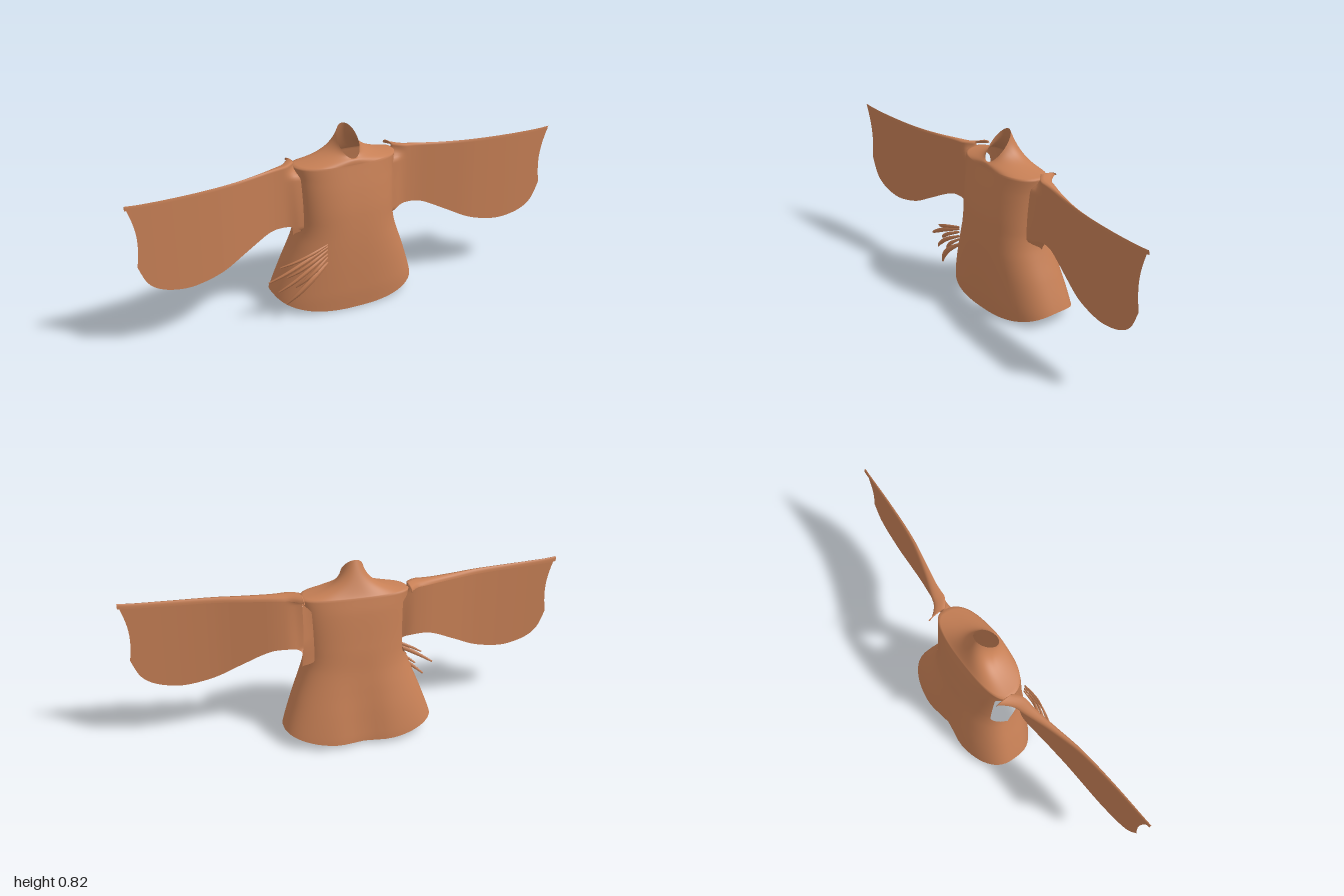
import * as THREE from 'three';
import { mergeGeometries, mergeVertices } from 'three/addons/utils/BufferGeometryUtils.js';

const { lerp, smoothstep } = THREE.MathUtils;

// Surface over a (u, v) grid; fn returns [x, y, z]
function grid(nu, nv, fn, flip = false) {
  const pos = [], idx = [];
  for (let j = 0; j <= nv; j++)
    for (let i = 0; i <= nu; i++) pos.push(...fn(i / nu, j / nv));
  for (let j = 0; j < nv; j++)
    for (let i = 0; i < nu; i++) {
      const a = j * (nu + 1) + i, b = a + 1, c = a + nu + 1, d = c + 1;
      if (flip) idx.push(a, b, c, b, d, c);
      else idx.push(a, c, b, b, c, d);
    }
  const g = new THREE.BufferGeometry();
  g.setAttribute('position', new THREE.Float32BufferAttribute(pos, 3));
  g.setIndex(idx);
  return g;
}

function smooth(parts) {
  const g = mergeVertices(mergeGeometries(parts), 1e-4);
  g.computeVertexNormals();
  return g;
}

// Interpolate a table of [key, value] pairs
function table(rows) {
  const n = rows.length - 1;
  const slope = (i) => {
    const a = rows[Math.max(i - 1, 0)], b = rows[Math.min(i + 1, n)];
    return (b[1] - a[1]) / (b[0] - a[0]);
  };
  return (k) => {
    if (k <= rows[0][0]) return rows[0][1];
    if (k >= rows[n][0]) return rows[n][1];
    let i = 0;
    while (k > rows[i + 1][0]) i++;
    const [k0, v0] = rows[i], [k1, v1] = rows[i + 1], h = k1 - k0, t = (k - k0) / h;
    const t2 = t * t, t3 = t2 * t;
    return (2 * t3 - 3 * t2 + 1) * v0 + (t3 - 2 * t2 + t) * h * slope(i)
      + (3 * t2 - 2 * t3) * v1 + (t3 - t2) * h * slope(i + 1);
  };
}

// Body outline: half width, front depth, back depth and side position by height
const ARM_LOW = 0.34, ARM_TOP = 0.67;
const width = table([[0, 0.352], [0.07, 0.337], [0.2, 0.292], [0.3, 0.253], [0.36, 0.233], [0.42, 0.225], [0.6, 0.23], [0.67, 0.24]]);
const front = table([[0, 0.155], [0.1, 0.163], [0.3, 0.167], [0.45, 0.16], [0.55, 0.147], [0.67, 0.124]]);
const back = table([[0, -0.187], [0.05, -0.182], [0.15, -0.165], [0.25, -0.143], [0.35, -0.121], [0.45, -0.106], [0.6, -0.085], [0.67, -0.07]]);
const middle = table([[0, -0.04], [0.34, 0], [0.67, 0]]);
const sleeveZ = table([[0.2, 0.06], [0.28, 0.048], [0.35, 0.052], [0.45, 0.072], [0.6, 0.1], [0.8, 0.117], [1, 0.125]]);

const soft = (v, p = 0.8) => Math.sign(v) * Math.abs(v) ** p;

function ring(angle, y) {
  const s = soft(Math.sin(angle)), x = width(y) * soft(Math.cos(angle)), m = middle(y);
  let z = s > 0 ? lerp(m, front(y), s) : lerp(m, back(y), -s);
  if (s < 0) z += 0.026 * Math.exp(-((x / 0.085) ** 2)) * (1 - smoothstep(y, 0.05, 0.45));
  return [x, y, z];
}

// How far the armhole cuts into an arc at a given height
const armhole = (y, size) => size * smoothstep(y, ARM_LOW, 0.4) * (1 - smoothstep(y, 0.62, ARM_TOP));
const frontCut = (y) => armhole(y, 0.32);
const backCut = (y) => armhole(y, 0.55);

function bodyGeometry() {
  const skirt = grid(64, 24, (u, v) => {
    const a = u * Math.PI * 2, s = Math.sin(a);
    const hem = s > 0 ? 0.066 * (1 - s ** 1.5) + 0.004 : 0.07 - 0.052 * s * s;
    return ring(a, lerp(hem, ARM_LOW, v));
  });
  const chest = grid(32, 40, (u, v) => {
    const y = lerp(ARM_LOW, ARM_TOP, v), c = frontCut(y);
    return ring(lerp(c, Math.PI - c, u), y);
  });
  const rear = grid(32, 40, (u, v) => {
    const y = lerp(ARM_LOW, ARM_TOP, v), c = backCut(y);
    return ring(Math.PI + lerp(c, Math.PI - c, u), y);
  });
  // Shoulders sweep up to the tilted neck opening
  const yoke = grid(64, 20, (u, v) => {
    const a = u * Math.PI * 2, c = Math.cos(a), s = Math.sin(a);
    const p0 = ring(a, ARM_TOP);
    const p1 = [0.07 * c, 0.697, s > 0 ? 0.02 + 0.105 * s : 0.02 + 0.07 * s];
    const p2 = [0.048 * c, 0.758 - 0.062 * s, 0.055 + 0.057 * s];
    return p0.map((p, i) => (1 - v) ** 2 * p + 2 * v * (1 - v) * p1[i] + v * v * p2[i]);
  });
  return smooth([skirt, chest, rear, yoke]);
}

const spline = (pts) => new THREE.SplineCurve(pts.map(([x, y]) => new THREE.Vector2(x, y)));
const sleeveLow = spline([[0.22, 0.372], [0.25, 0.4], [0.31, 0.41], [0.38, 0.4], [0.5, 0.343], [0.6, 0.295],
  [0.7, 0.27], [0.78, 0.266], [0.87, 0.287], [0.93, 0.33], [0.968, 0.41]]);
const sleeveTop = spline([[0.22, 0.69], [0.26, 0.688], [0.32, 0.684], [0.4, 0.68], [0.5, 0.677], [0.6, 0.676],
  [0.7, 0.675], [0.8, 0.675], [0.88, 0.676], [0.95, 0.678], [1, 0.682]]);
const foldDepth = table([[0.2, 0.085], [0.3, 0.052], [0.4, 0.03], [0.6, 0.014], [1, 0.006]]);

// Hanging sleeve sheet, attached along the front edge of the armhole
function sleevePoint(u, v) {
  const b = sleeveLow.getPoint(u), t = sleeveTop.getPoint(u);
  const x = lerp(b.x, t.x, v) - 0.022 * Math.sin(Math.PI * v) * u ** 6;
  const y = lerp(b.y, t.y, v);
  const ey = Math.min(y, ARM_TOP), e = ring(frontCut(ey), ey);
  const k = smoothstep(u, 0, 0.17);
  return [lerp(e[0], x, smoothstep(u, 0, 0.08)), y, lerp(e[2], sleeveZ(x), k)];
}

function sleeveGeometry(side) {
  const sheet = grid(60, 28, (u, v) => {
    const [x, y, z] = sleevePoint(u, v);
    return [side * x, y, z];
  }, side > 0);
  // Upper edge rolls backwards into the shoulder
  const fold = grid(60, 5, (u, v) => {
    const [x, y, z] = sleevePoint(u, 1);
    const d = foldDepth(x);
    return [side * x, y - 0.022 * v * v, z - d * Math.sin(v * Math.PI / 2)];
  }, side > 0);
  return smooth([sheet, fold]);
}

// Flattened tapering strand
function strandGeometry(points, radius) {
  const curve = new THREE.CatmullRomCurve3(points.map((p) => new THREE.Vector3(...p)));
  const g = new THREE.TubeGeometry(curve, 14, radius, 6);
  const pos = g.attributes.position, p = new THREE.Vector3();
  for (let i = 0; i < pos.count; i++) {
    const t = Math.floor(i / 7) / 14, c = curve.getPointAt(t);
    p.fromBufferAttribute(pos, i).sub(c).multiplyScalar(0.3 + 0.8 * Math.sin(Math.PI * (0.1 + 0.85 * t)));
    p.z *= 0.4;
    p.add(c);
    pos.setXYZ(i, p.x, p.y, p.z);
  }
  g.computeVertexNormals();
  return g;
}

export function createModel() {
  const model = new THREE.Group();
  const cloth = new THREE.MeshStandardMaterial({ color: 0xc67f55, side: THREE.DoubleSide });
  cloth.name = 'tan cloth';
  const add = (name, geometry, parent = model) => {
    const mesh = new THREE.Mesh(geometry, cloth);
    mesh.name = name;
    parent.add(mesh);
  };

  add('body', bodyGeometry());
  add('leftSleeve', sleeveGeometry(1));
  add('rightSleeve', sleeveGeometry(-1));

  // Loose ties fanning out from the front closure
  const ties = new THREE.Group();
  ties.name = 'ties';
  model.add(ties);
  const ends = [
    [0.345, -0.36, 0.27, 0.008], [0.335, -0.415, 0.21, 0.01], [0.32, -0.33, 0.215, 0.009],
    [0.3, -0.37, 0.155, 0.01], [0.285, -0.29, 0.16, 0.009], [0.26, -0.335, 0.09, 0.013],
  ];
  for (const [y, ex, ey, r] of ends)
    add('tie', strandGeometry([
      [-0.15, y, 0.163],
      [lerp(-0.15, ex, 0.4), lerp(y, ey, 0.32), 0.174],
      [lerp(-0.15, ex, 0.75), lerp(y, ey, 0.7), 0.16],
      [ex, ey, 0.135],
    ], r), ties);

  return model;
}
